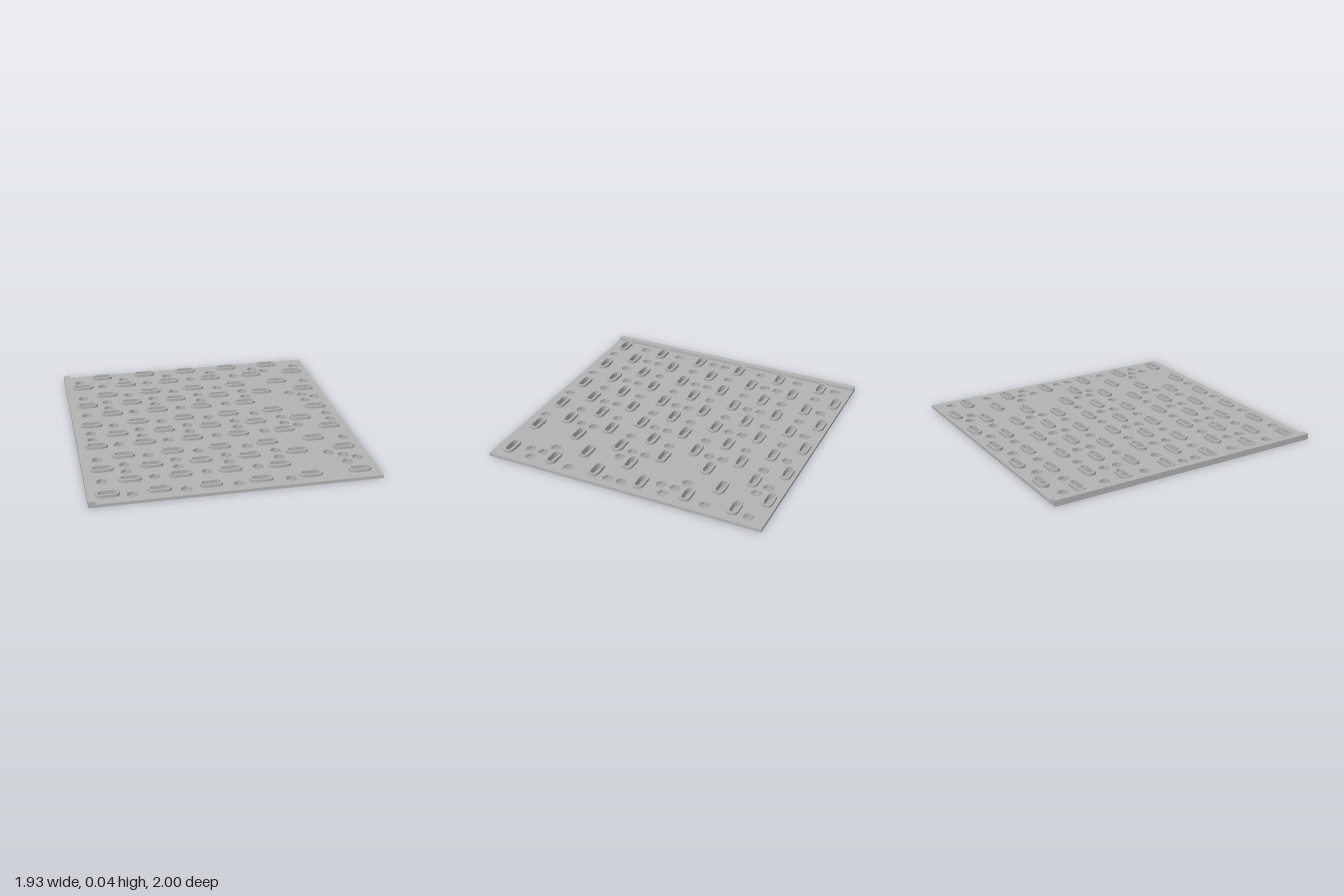
import * as THREE from 'three';

const PLATE_T = 0.021;   // plate thickness
const TOP = 0.041;       // height of collars and edge lip
const X0 = -0.965, X1 = 0.965;

// Capsule outline along x; plan coordinates use y = -z
function slotPoints(x, z, halfLength, r, segments) {
  const pts = [], c = halfLength - r;
  for (const side of [1, -1]) {
    for (let i = 0; i <= segments; i++) {
      const a = -Math.PI / 2 + (i / segments) * Math.PI;
      pts.push(new THREE.Vector2(x + side * (c + r * Math.cos(a)), -z + side * r * Math.sin(a)));
    }
  }
  return pts;
}

function hexPoints(x, z, r = 0.039) {
  return Array.from({ length: 6 }, (_, i) => {
    const a = Math.PI / 6 + (i * Math.PI) / 3;
    return new THREE.Vector2(x + r * Math.cos(a), -z + r * Math.sin(a));
  });
}

// Plan shape raised from y0 to y1
function slab(shape, y0, y1) {
  const g = new THREE.ExtrudeGeometry(shape, { depth: y1 - y0, bevelEnabled: false });
  return g.rotateX(-Math.PI / 2).translate(0, y0, 0);
}

function slotCentres() {
  const list = [];
  for (let row = 0; row < 12; row++) {
    const z = -0.937 + row * 0.1667;
    const odd = row % 2 === 1;
    const count = odd ? 6 : row === 4 || row === 10 ? 4 : 5;
    for (let i = 0; i < count; i++) list.push([(odd ? -0.833 : -0.667) + i / 3, z]);
  }
  return list;
}

function hexCentres() {
  const list = [];
  const outerRows = [-0.88, -0.58, -0.28, 0.02, 0.12, 0.42, 0.72];
  const innerRows = [-0.78, -0.48, -0.38, -0.08, 0.22, 0.52, 0.62, 0.92];
  for (const x of [-0.851, -0.505, -0.159, 0.187, 0.879]) for (const z of outerRows) list.push([x, z]);
  for (const x of [-0.678, -0.332, 0.014, 0.36]) for (const z of innerRows) list.push([x, z]);
  // irregular holes near the free edge
  for (const z of [-0.88, 0.02, 0.12]) list.push([0.533, z]);
  for (const dz of [0, 1]) {
    list.push([0.62, -0.83 + dz], [0.707, -0.38 + dz], [0.793, -0.33 + dz], [0.793, -0.23 + dz]);
  }
  return list;
}

export function createModel() {
  const model = new THREE.Group();
  model.name = 'perforatedPanel';
  const grey = new THREE.MeshStandardMaterial({ color: 0xb2b2b2 });
  grey.name = 'grey';
  const add = (geometry, name, parent = model) => {
    const mesh = new THREE.Mesh(geometry, grey);
    mesh.name = name;
    parent.add(mesh);
  };

  const slots = slotCentres();
  const inner = (x, z) => new THREE.Path(slotPoints(x, z, 0.065, 0.022, 3));

  // Plate pierced by slots and hexagonal holes
  const plate = new THREE.Shape([[X0, -1], [X1, -1], [X1, 1], [X0, 1]].map(p => new THREE.Vector2(...p)));
  for (const [x, z] of slots) plate.holes.push(inner(x, z));
  for (const [x, z] of hexCentres()) plate.holes.push(new THREE.Path(hexPoints(x, z)));
  add(slab(plate, 0, PLATE_T), 'plate');

  // Raised collar around each slot
  const collars = new THREE.Group();
  collars.name = 'slotCollars';
  model.add(collars);
  for (const [x, z] of slots) {
    const ring = new THREE.Shape(slotPoints(x, z, 0.078, 0.036, 6));
    ring.holes.push(inner(x, z));
    add(slab(ring, PLATE_T, TOP), 'slotCollar', collars);
  }

  // Lip along one edge
  const lip = new THREE.BoxGeometry(0.046, TOP - PLATE_T, 2);
  add(lip.translate(X0 + 0.023, (TOP + PLATE_T) / 2, 0), 'edgeLip');

  return model;
}
